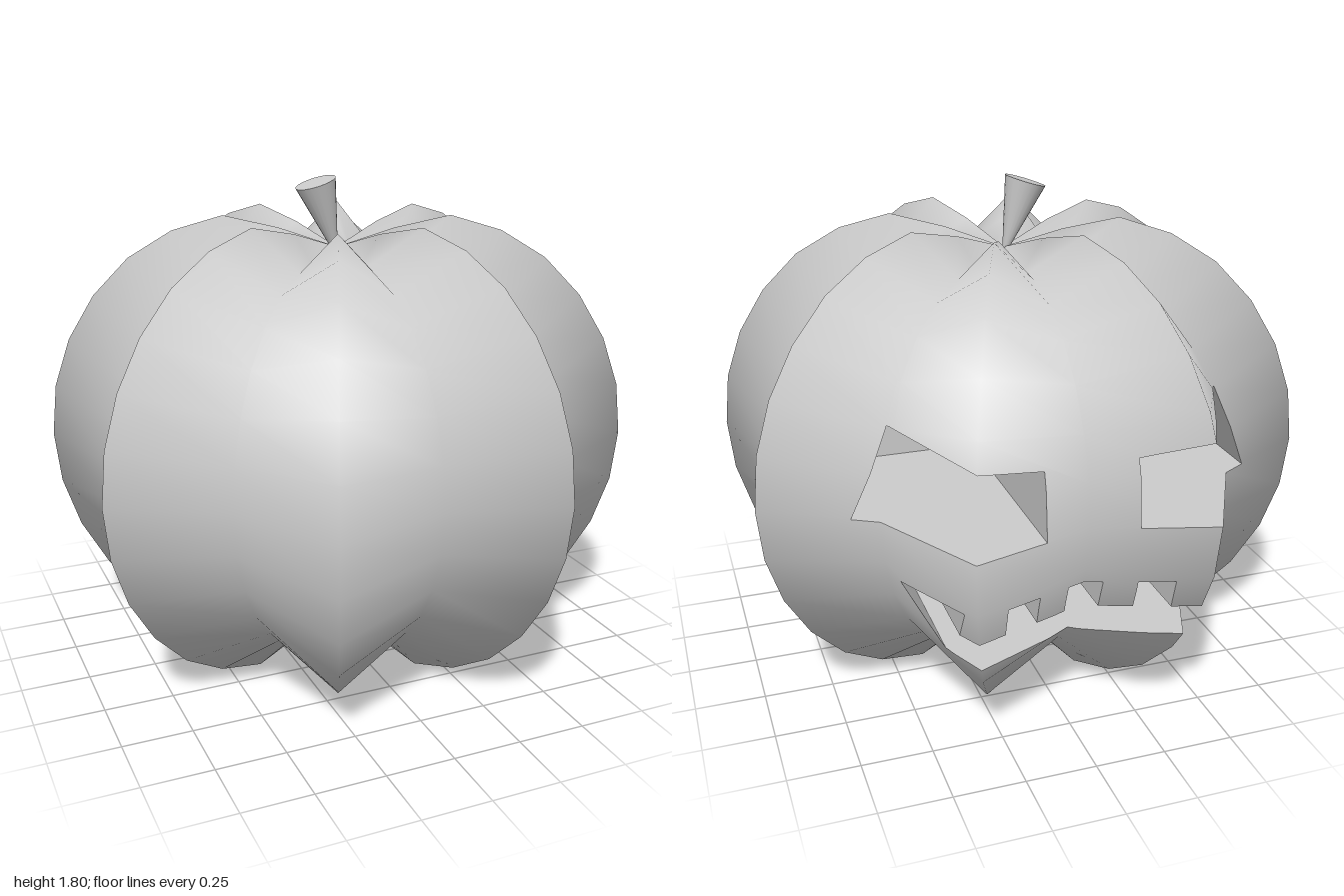
import * as THREE from 'three';
import { mergeVertices } from 'three/addons/utils/BufferGeometryUtils.js';

const MID = 0.83; // height of the widest ring
const DEPTH = -0.1; // z where the carving stops
const RING_Y = [0, 0.19, 0.37, 0.535, 0.675, 0.775, 0.83, 0.785, 0.715];

// Eight-lobed body: a sphere whose alternate meridians are pushed out or in
function ribbedSphere() {
  let geo = new THREE.SphereGeometry(1, 16, 16);
  const p = geo.attributes.position;
  for (let i = 0; i < p.count; i++) {
    const row = Math.floor(i / 17), col = i % 17;
    const ridge = col % 2 === 1, pole = row === 0 || row === 16;
    const r = ridge ? 1.08 : 0.88;
    const y = RING_Y[Math.abs(8 - row)] * (ridge || pole ? 1 : 0.815);
    p.setXYZ(i, p.getX(i) * r, MID + Math.sign(8 - row) * y, p.getZ(i) * r);
  }
  geo.deleteAttribute('uv');
  geo.deleteAttribute('normal');
  geo = mergeVertices(geo);
  geo.computeVertexNormals();
  return geo.toNonIndexed();
}

// Convex carving cells in the xy plane, counter-clockwise
function carvingCells() {
  const cells = [];
  const mirror = (pts) => pts.map(([x, y]) => [-x, y]).reverse();
  const both = (pts) => cells.push(pts, mirror(pts));
  const box = (x0, x1, y0, y1) => [[x0, y0], [x1, y0], [x1, y1], [x0, y1]];
  const low = 0.37, tip = 0.51, top = 0.62;
  // eyes
  both([[0.16, 0.83], [0.71, 0.83], [0.58, 1.14], [0.16, 1.06]]);
  // mouth: a strip below the teeth, and the gaps between them
  cells.push(box(-0.06, 0.06, low, tip), box(-0.06, 0.06, tip, top));
  both(box(0.06, 0.17, low, tip));
  both(box(0.17, 0.29, low, tip));
  both(box(0.17, 0.29, tip, top));
  both(box(0.29, 0.43, low, tip));
  both([[0.43, low], [0.435, low], [0.51, tip], [0.43, tip]]);
  both([[0.43, tip], [0.51, tip], [0.57, top], [0.43, top]]);
  return cells;
}

// Signed distance of a point from the edge a-b, positive on the inner side
function edgeDistance(p, a, b) {
  const dx = b[0] - a[0], dy = b[1] - a[1];
  return (dx * (p[1] - a[1]) - dy * (p[0] - a[0])) / Math.hypot(dx, dy);
}

// Split a polygon by the edge a-b into its inner and outer parts
function split(poly, a, b) {
  const inner = [], outer = [];
  poly.forEach((p, i) => {
    const q = poly[(i + 1) % poly.length];
    const dp = edgeDistance(p, a, b), dq = edgeDistance(q, a, b);
    if (dp > -1e-7) inner.push(p);
    if (dp < 1e-7) outer.push(p);
    if ((dp > 1e-7 && dq < -1e-7) || (dp < -1e-7 && dq > 1e-7)) {
      const t = dp / (dp - dq);
      const m = p.map((v, k) => v + (q[k] - v) * t);
      inner.push(m);
      outer.push(m);
    }
  });
  const area = (poly2) => poly2.length > 2;
  return [area(inner) ? inner : null, area(outer) ? outer : null];
}

const edges = (cell) => cell.map((a, i) => [a, cell[(i + 1) % cell.length]]);
const contains = (cell, p) => edges(cell).every(([a, b]) => edgeDistance(p, a, b) > -1e-5);

// Cut the cells out of the back of the body; return skin and cavity geometry
function carve(geo, cells) {
  const pos = geo.attributes.position, nor = geo.attributes.normal;
  const skin = [], cavity = [];
  const fan = (list, poly) => {
    for (let i = 1; i < poly.length - 1; i++) list.push(poly[0], poly[i], poly[i + 1]);
  };
  const deep = (p) => [p[0], p[1], DEPTH];

  // Cavity walls along the cell outline, and the flat end of the cavity
  const addCavity = (poly, cell) => {
    poly.forEach((p, i) => {
      const q = poly[(i + 1) % poly.length];
      const mid = [(p[0] + q[0]) / 2, (p[1] + q[1]) / 2];
      const onOutline = edges(cell).some(([a, b]) =>
        Math.abs(edgeDistance(p, a, b)) < 1e-5 && Math.abs(edgeDistance(q, a, b)) < 1e-5);
      const shared = cells.some((c) => c !== cell && contains(c, mid));
      if (onOutline && !shared) fan(cavity, [p, q, deep(q), deep(p)]);
    });
    fan(cavity, poly.map(deep));
  };

  for (let i = 0; i < pos.count; i += 3) {
    const tri = [i, i + 1, i + 2].map((k) => [
      pos.getX(k), pos.getY(k), pos.getZ(k), nor.getX(k), nor.getY(k), nor.getZ(k)]);
    let pieces = [tri];
    if ((tri[0][2] + tri[1][2] + tri[2][2]) / 3 < -0.3) {
      for (const cell of cells) {
        const next = [];
        for (const piece of pieces) {
          let rest = piece;
          const kept = [];
          for (const [a, b] of edges(cell)) {
            const [inner, outer] = split(rest, a, b);
            if (outer) kept.push(outer);
            rest = inner;
            if (!rest) break;
          }
          if (rest) {
            next.push(...kept);
            addCavity(rest, cell);
          } else next.push(piece);
        }
        pieces = next;
      }
    }
    pieces.forEach((piece) => fan(skin, piece));
  }

  const build = (list, smooth) => {
    const g = new THREE.BufferGeometry();
    const attr = (from) => new THREE.Float32BufferAttribute(list.flatMap((v) => v.slice(from, from + 3)), 3);
    g.setAttribute('position', attr(0));
    if (smooth) {
      g.setAttribute('normal', attr(3));
      g.normalizeNormals();
    } else g.computeVertexNormals();
    return g;
  };
  return [build(skin, true), build(cavity, false)];
}

export function createModel() {
  const group = new THREE.Group();
  const material = new THREE.MeshStandardMaterial({ color: 0xcccccc });
  const add = (name, geometry) => {
    const mesh = new THREE.Mesh(geometry, material);
    mesh.name = name;
    group.add(mesh);
    return mesh;
  };

  // Body with the carved eyes and mouth on its back
  const [skin, cavity] = carve(ribbedSphere(), carvingCells());
  add('body', skin);
  add('carvedFace', cavity);

  // Leaning stem, narrow at the foot
  const stemGeo = new THREE.CylinderGeometry(0.075, 0.012, 0.25, 20);
  stemGeo.translate(0, 0.125, 0);
  const stem = add('stem', stemGeo);
  stem.position.set(-0.008, 1.542, 0);
  stem.rotation.z = 0.3;

  return group;
}
